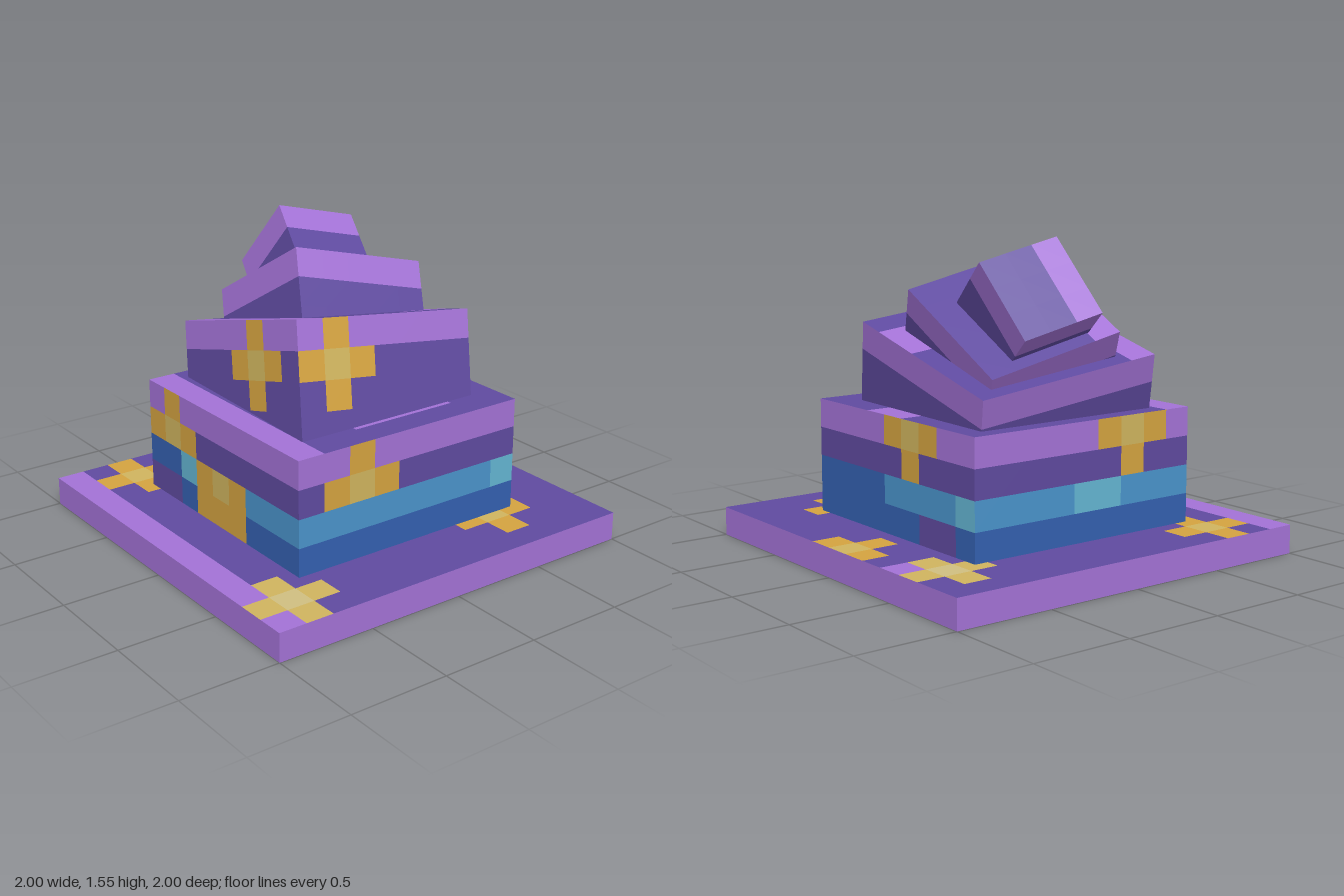
import * as THREE from 'three';

const U = 1 / 7; // one painted square

// One material per flat colour, keyed by the letter used in the face patterns
const KEYS = 'DLGPWBCT';
const MATERIALS = [
  ['darkPurple', 0x5f4a9f], ['lightPurple', 0xa372d6], ['gold', 0xd4a340], ['paleGold', 0xcfb45e],
  ['cream', 0xcfbe80], ['blue', 0x3460b0], ['lightBlue', 0x4a94cb], ['teal', 0x64b5d2],
].map(([name, color]) => {
  const m = new THREE.MeshStandardMaterial({ color });
  m.name = name;
  return m;
});

// Default patterns: light trim on the top row of a side and the front row of a top
const plainSide = (n, h) => Array.from({ length: h }, (_, i) => (i ? 'D' : 'L').repeat(n));
const plainTop = (n) => Array.from({ length: n }, (_, i) => (i === n - 1 ? 'L' : 'D').repeat(n));
const plainBottom = (n) => Array(n).fill('D'.repeat(n));

// Box of n x h x n squares, each face painted from rows of letters.
// The origin is the top, front, +x corner.
function tier(name, n, h, faces = {}) {
  const geo = new THREE.BoxGeometry(n * U, h * U, n * U, n, h, n);
  geo.translate(-n * U / 2, -h * U / 2, -n * U / 2);
  const side = plainSide(n, h);
  const cells = [
    faces.plusX || side, faces.minusX || side, faces.top || plainTop(n),
    plainBottom(n), faces.front || side, faces.back || side,
  ].map((rows) => rows.join('')).join('');
  geo.clearGroups();
  for (let i = 0, start = 0; i < cells.length; i++) {
    if (cells[i + 1] === cells[i]) continue;
    geo.addGroup(start * 6, (i + 1 - start) * 6, KEYS.indexOf(cells[i]));
    start = i + 1;
  }
  const mesh = new THREE.Mesh(geo, MATERIALS);
  mesh.name = name;
  return mesh;
}

// Place a tier on its parent by its corner, with its lean in degrees
function place(parent, mesh, position, leanX = 0, leanZ = 0) {
  mesh.position.set(...position);
  mesh.rotation.set(THREE.MathUtils.degToRad(leanX), 0, THREE.MathUtils.degToRad(leanZ), 'ZYX');
  parent.add(mesh);
  return mesh;
}

export function createModel() {
  const hat = new THREE.Group();
  hat.name = 'hat';

  // Wide square brim with scattered stars
  place(hat, tier('brim', 14, 1, {
    top: [
      'DDWLDGPGDDDDDD'.replace('W', 'P'),
      'DPWPDDGDDDDDDD',
      'DDPDDDDDDDDGDD',
      'DDDDDDDDDDGPGD',
      'DDDDDDDDDDDGDD',
      ...Array(5).fill('DDDDDDDDDDDDDD'),
      'DGDDDDDDDDDDDD',
      'GPGDDDDDDDDDPD',
      'DGDDDDDDDDDPWP',
      'LLLLLLLLLLLLPL',
    ],
  }), [1, U, 1]);

  // Upright lower crown with the blue band and buckle
  place(hat, tier('lowerCrown', 9, 4, {
    front: ['LGLLLLLLL', 'GPGDDDDDD', 'BBTGPGCCC', 'DDBGGGBBB'],
    plusX: ['LLGLLLLLL', 'DGPGDDDDD', 'CCCCCCCCT', 'BBBBBBBBB'],
    back: ['LLLLGPGLL', 'DDDDDGDDD', 'BBBBCCCCT', 'BBBBBBDDB'],
    minusX: ['LLLLLGPGL', 'DDDDDDGDD', 'CCCCTTCCC', 'BBBBBBBBB'],
    top: [
      'DDDDLLDDD', 'DDDDDDDDD',
      ...Array(4).fill('DDDDDDDLD'),
      'DDDDDDDDD', 'DDDDDDDDD', 'LLLLLLLLL',
    ],
  }), [4.5 * U, 5 * U, 4.5 * U]);

  // Leaning crown tiers, each carried by the one below
  const middle = place(hat, tier('middleCrown', 7, 4, {
    front: ['LLLLGLL', 'DDDGPGD', 'DDDDGDD', 'DDDDDDD'],
    plusX: ['LGLLLLL', 'GPGDDDD', 'DGDDDDD', 'DDDDDDD'],
    top: ['DDDDLLD', 'DDDDDLD', ...Array(4).fill('DDDDDDD'), 'LLLLLLL'],
  }), [0.335, 1.245, 0.43], -7.5, 15);
  const upper = place(middle, tier('upperCrown', 5, 3), [-0.276, 0.331, -0.203], -7.5, 15);
  place(upper, tier('tip', 3, 3), [-0.324, 0.334, -0.135], 0, 22.5);

  return hat;
}
